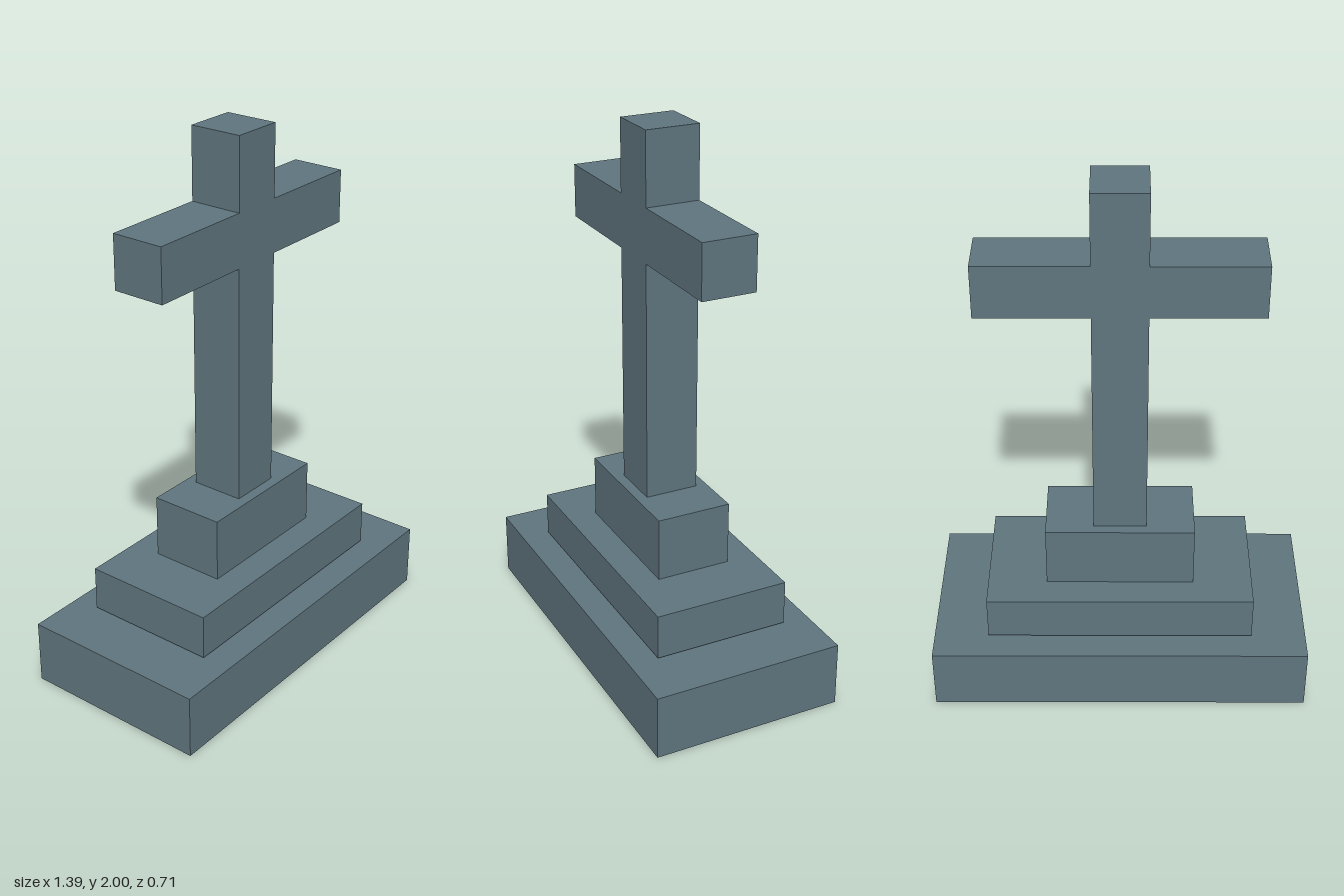
import * as THREE from 'three';

export function createModel() {
  const group = new THREE.Group();
  const stone = new THREE.MeshStandardMaterial({ color: 0x5f757e, flatShading: true });

  // Adds a block from its width, depth, bottom and top heights
  function block(name, width, depth, bottom, top, x = 0) {
    const mesh = new THREE.Mesh(new THREE.BoxGeometry(width, top - bottom, depth), stone);
    mesh.name = name;
    mesh.position.set(x, (bottom + top) / 2, 0);
    group.add(mesh);
  }

  // Stepped plinth
  block('baseStep', 1.39, 0.71, 0, 0.24);
  block('middleStep', 0.985, 0.505, 0.248, 0.415);
  block('topStep', 0.547, 0.28, 0.245, 0.652);

  // Upright, with an arm on each side
  block('upright', 0.195, 0.2, 0.652, 2);
  for (const side of [-1, 1]) {
    block(side > 0 ? 'leftArm' : 'rightArm', 0.3975, 0.2, 1.54, 1.737, side * 0.29625);
  }

  return group;
}
